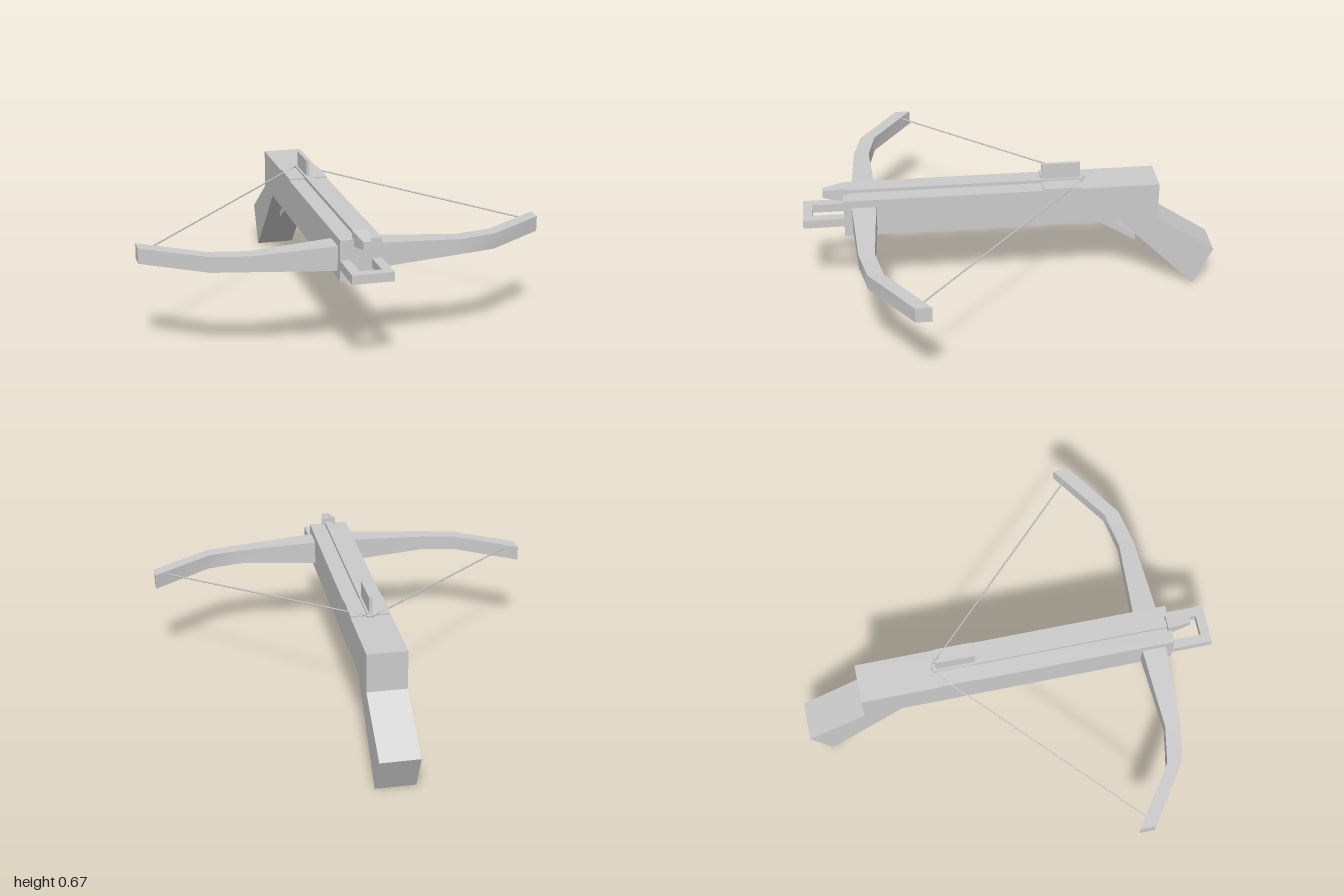
import * as THREE from 'three';

const material = new THREE.MeshStandardMaterial({ color: 0xcccccc });

function add(parent, name, geometry) {
  const mesh = new THREE.Mesh(geometry, material);
  mesh.name = name;
  parent.add(mesh);
  return mesh;
}

// Box given by its minimum and maximum corners
function box(min, max) {
  const g = new THREE.BoxGeometry(max[0] - min[0], max[1] - min[1], max[2] - min[2]);
  return g.translate((min[0] + max[0]) / 2, (min[1] + max[1]) / 2, (min[2] + max[2]) / 2);
}

// Side outline of [z, y] points, extruded across x and centred
function sideProfile(points, width) {
  const shape = new THREE.Shape(points.map(([z, y]) => new THREE.Vector2(z, y)));
  const g = new THREE.ExtrudeGeometry(shape, { depth: width, bevelEnabled: false });
  return g.translate(0, 0, -width / 2).rotateY(-Math.PI / 2);
}

// Thin straight cord between two points
function cord(a, b, radius) {
  const dir = b.clone().sub(a);
  const g = new THREE.CylinderGeometry(radius, radius, dir.length(), 6);
  const q = new THREE.Quaternion().setFromUnitVectors(new THREE.Vector3(0, 1, 0), dir.clone().normalize());
  g.applyQuaternion(q);
  const mid = a.clone().add(b).multiplyScalar(0.5);
  return g.translate(mid.x, mid.y, mid.z);
}

// Curved bow: a segmented box whose rings follow the stations [x, z, depth, height]
function bowGeometry() {
  const half = [
    [0.095, 0.708, 0.115, 0.115],
    [0.48, 0.708, 0.075, 0.072],
    [0.655, 0.673, 0.073, 0.072],
    [0.94, 0.478, 0.075, 0.072],
  ];
  const mirrored = half.map(([x, z, d, h]) => [-x, z, d, h]).reverse();
  const stations = [...mirrored, ...half];
  const n = stations.length - 1;
  const g = new THREE.BoxGeometry(n, 1, 1, n, 1, 1);
  const p = g.attributes.position;
  for (let i = 0; i < p.count; i++) {
    const [x, z, d, h] = stations[Math.round(p.getX(i) + n / 2)];
    p.setXYZ(i, x, 0.479 + p.getY(i) * h, z + p.getZ(i) * d);
  }
  g.computeVertexNormals();
  return g;
}

export function createModel() {
  const model = new THREE.Group();
  model.name = 'crossbow';

  // Stock with the angled grip
  add(model, 'stock', sideProfile([
    [0.805, 0.385], [0.805, 0.575], [-0.71, 0.575], [-0.71, 0.385],
    [-1, 0.19], [-0.905, 0], [-0.525, 0.385],
  ], 0.19));

  // Trigger lever under the stock
  add(model, 'trigger', sideProfile([
    [-0.37, 0.39], [-0.44, 0.39], [-0.615, 0.268], [-0.615, 0.235],
  ], 0.076));

  // Foot stirrup at the front
  const stirrup = new THREE.Group();
  stirrup.name = 'stirrup';
  for (const s of [-1, 1]) {
    const inner = s * 0.05, outer = s * 0.095;
    add(stirrup, 'stirrupSide', box(
      [Math.min(inner, outer), 0.44, 0.8], [Math.max(inner, outer), 0.482, 0.955]));
  }
  add(stirrup, 'stirrupBar', box([-0.095, 0.44, 0.955], [0.095, 0.482, 1]));
  model.add(stirrup);

  add(model, 'bow', bowGeometry());

  // Drawn string, running round the tail of the bolt
  const string = new THREE.Group();
  string.name = 'string';
  const tail = new THREE.Vector3(0, 0.586, -0.36);
  for (const s of [-1, 1]) {
    const tip = new THREE.Vector3(s * 0.88, 0.502, 0.48);
    const bend = new THREE.Vector3(s * 0.022, 0.586, -0.347);
    add(string, 'stringSide', cord(tip, bend, 0.004));
    add(string, 'stringLoop', cord(bend, tail, 0.004));
  }
  model.add(string);

  // Bolt half sunk in the stock: shaft, tapered head and three vanes
  const bolt = new THREE.Group();
  bolt.name = 'bolt';
  add(bolt, 'shaft', box([-0.018, 0.557, -0.35], [0.018, 0.592, 0.8]));
  const head = new THREE.CylinderGeometry(0.018 * Math.SQRT2, 0.036 * Math.SQRT2, 0.115, 4).toNonIndexed();
  head.computeVertexNormals();
  head.rotateY(Math.PI / 4).rotateX(Math.PI / 2).translate(0, 0.575, 0.843);
  add(bolt, 'head', head);
  add(bolt, 'topVane', box([-0.008, 0.575, -0.335], [0.008, 0.67, -0.147]));
  add(bolt, 'sideVanes', box([-0.095, 0.567, -0.335], [0.095, 0.583, -0.147]));
  model.add(bolt);

  return model;
}
